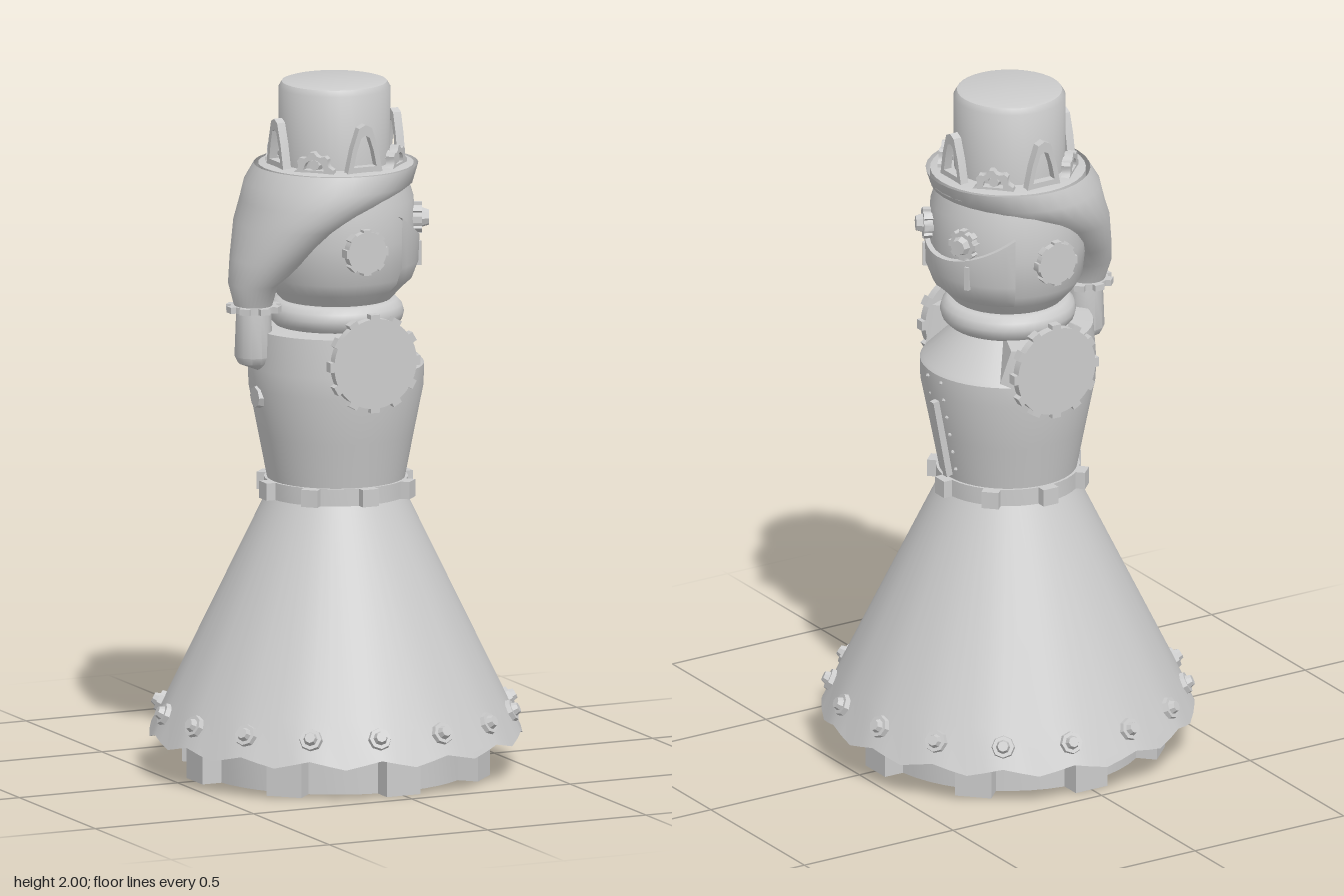
import * as THREE from 'three';
import { toCreasedNormals } from 'three/addons/utils/BufferGeometryUtils.js';

const material = new THREE.MeshStandardMaterial({ color: 0xcccccc, side: THREE.DoubleSide });

export function createModel() {
  const model = new THREE.Group();
  const add = (name, geo, crease = 0.6) => {
    const mesh = new THREE.Mesh(toCreasedNormals(geo, crease), material);
    mesh.name = name;
    model.add(mesh);
    return mesh;
  };

  // Turned part from [radius, height] pairs, bottom to top
  const lathe = (pts, seg = 36, start = 0, length = Math.PI * 2) =>
    new THREE.LatheGeometry(pts.map(([r, y]) => new THREE.Vector2(r, y)), seg, start, length);

  // Move every vertex by a rule
  const warp = (geo, rule) => {
    const p = geo.attributes.position;
    const v = new THREE.Vector3();
    for (let i = 0; i < p.count; i++) {
      v.fromBufferAttribute(p, i);
      rule(v);
      p.setXYZ(i, v.x, v.y, v.z);
    }
    return geo;
  };

  // Toothed disc around the y axis, standing on y = 0
  const gear = (inner, outer, teeth, halfWidth, height) => {
    const pts = [];
    const step = (Math.PI * 2) / teeth;
    const put = (r, a) => pts.push(new THREE.Vector2(r * Math.cos(a), r * Math.sin(a)));
    for (let i = 0; i < teeth; i++) {
      const a = i * step;
      const wi = halfWidth / inner, wo = halfWidth / outer;
      put(inner, a - wi);
      put(outer, a - wo);
      put(outer, a + wo);
      put(inner, a + wi);
      for (let k = 1; k < 4; k++) put(inner, a + wi + ((step - 2 * wi) * k) / 4);
    }
    return new THREE.ExtrudeGeometry(new THREE.Shape(pts), { depth: height, bevelEnabled: false }).rotateX(-Math.PI / 2);
  };

  // Aim a y-axis part outwards (tilt from vertical) and place it around the body
  const place = (geo, r, y, angle, tilt = Math.PI / 2) =>
    geo.rotateZ(-tilt).translate(r, y, 0).rotateY(angle);

  // Base and skirt with a scalloped hem
  add('baseGear', gear(0.39, 0.45, 8, 0.053, 0.13));
  const skirt = lathe([[0, 0.12], [0.44, 0.12], [0.532, 0.11], [0.476, 0.23], [0.2, 0.8], [0, 0.8]], 64);
  warp(skirt, v => {
    if (Math.hypot(v.x, v.z) > 0.5) v.y -= 0.012 * Math.cos(16 * Math.atan2(v.z, v.x));
  });
  add('skirt', skirt);
  for (let i = 0; i < 16; i++) {
    const a = ((i + 0.5) * Math.PI) / 8;
    add('skirtRivet', place(new THREE.CylinderGeometry(0.031, 0.035, 0.02, 8), 0.503, 0.18, a, 1.12), 0.3);
    add('skirtRivetCap', place(new THREE.CylinderGeometry(0.015, 0.022, 0.02, 8), 0.517, 0.187, a, 1.12), 0.3);
  }

  // Belt and torso, with the neckline cut lower on the face side (+x)
  add('belt', gear(0.205, 0.232, 8, 0.025, 0.05).translate(0, 0.8, 0));
  const torso = lathe([[0, 0.84], [0.195, 0.84], [0.222, 0.98], [0.25, 1.12], [0.251, 1.18],
    [0.243, 1.29], [0.13, 1.3], [0.13, 1.34]], 48);
  warp(torso, v => {
    if (v.x > 0.132 && v.y > 1.19) v.y = 1.19;
  });
  add('torso', torso);
  const strip = new THREE.BoxGeometry(0.02, 0.24, 0.02);
  add('chestStrip', strip.rotateZ(-0.19).translate(0.231, 0.98, -0.01));
  for (const side of [-1, 1]) {
    for (let i = 0; i < 6; i++) {
      const y = 0.89 + i * 0.055;
      add('chestStud', new THREE.SphereGeometry(0.006, 6, 4).translate(0.203 + (y - 0.88) * 0.18, y, side * 0.035 - 0.01));
    }
  }
  add('backPlate', place(new THREE.CylinderGeometry(0.03, 0.035, 0.02, 8), 0.247, 1.1, Math.PI, 1.6));

  // Shoulder gears and ears, mirrored
  for (const side of [-1, 1]) {
    const turn = (side * Math.PI) / 2;
    add('shoulderGear', gear(0.13, 0.143, 12, 0.014, 0.026).rotateX(turn).translate(0, 1.22, side * 0.235));
    add('shoulderMount', new THREE.CylinderGeometry(0.07, 0.07, 0.08, 16).rotateX(turn).translate(0, 1.2, side * 0.205));
    add('ear', gear(0.06, 0.067, 8, 0.012, 0.03).rotateX(turn).translate(-0.016, 1.54, side * 0.212));
  }

  // Collar and head
  const collar = new THREE.TorusGeometry(0.152, 0.042, 12, 40).rotateX(Math.PI / 2);
  add('collar', collar.translate(0, 1.33, 0), 1.2);
  add('head', lathe([[0, 1.36], [0.15, 1.36], [0.19, 1.405], [0.213, 1.44], [0.225, 1.55], [0.222, 1.66], [0.2, 1.73], [0, 1.74]]));

  // Jaw mask, its upper edge sweeping up towards the ears
  const mask = lathe([[0.19, 1.405], [0.217, 1.43], [0.236, 1.48], [0.238, 1.535], [0.21, 1.54]], 20, Math.PI / 2 - 1.1, 2.2);
  warp(mask, v => {
    if (v.y > 1.53) v.y += 0.09 * (Math.atan2(v.z, v.x) / 1.1) ** 2;
  });
  add('mask', mask);

  // Eyes and the slits below them
  for (const side of [-1, 1]) {
    const a = side * 0.44;
    add('eyeGear', place(gear(0.038, 0.046, 8, 0.009, 0.03), 0.215, 1.6, a));
    add('eyeLens', place(new THREE.CylinderGeometry(0.022, 0.032, 0.03, 8), 0.25, 1.6, a), 0.3);
    add('cheekSlit', place(new THREE.BoxGeometry(0.07, 0.015, 0.014), 0.236, 1.5, side * 0.5));
  }

  // Hair lofted through ellipses: [height, centre x, x radius, z radius]
  const rings = [[1.76, 0, 0.235, 0.235], [1.71, -0.025, 0.24, 0.248], [1.66, -0.075, 0.2, 0.237],
    [1.6, -0.145, 0.15, 0.205], [1.5, -0.21, 0.107, 0.14], [1.43, -0.262, 0.068, 0.085], [1.36, -0.262, 0.052, 0.055]];
  const sides = 32;
  const verts = [], faces = [];
  rings.forEach(([y, cx, rx, rz], r) => {
    for (let i = 0; i < sides; i++) {
      const a = (i / sides) * Math.PI * 2;
      verts.push(cx + rx * Math.cos(a), y, rz * Math.sin(a));
      if (r === 0) continue;
      const c = r * sides + i, d = r * sides + ((i + 1) % sides);
      faces.push(c, c - sides, d, d, c - sides, d - sides);
    }
  });
  const hair = new THREE.BufferGeometry();
  hair.setAttribute('position', new THREE.Float32BufferAttribute(verts, 3));
  hair.setIndex(faces);
  add('hair', hair, 0.9);
  add('hairTie', gear(0.065, 0.08, 8, 0.015, 0.018).translate(-0.26, 1.35, 0));
  const tail = lathe([[0, 1.17], [0.045, 1.2], [0.055, 1.22], [0.05, 1.35]], 12);
  add('ponytail', warp(tail, v => {
    v.x += -0.26 + (v.y < 1.18 ? 0.03 : 0);
  }));

  // Hat
  add('hatBrim', lathe([[0, 1.715], [0.21, 1.715], [0.222, 1.725], [0.222, 1.76], [0.19, 1.765], [0, 1.765]]));
  add('hatCrown', lathe([[0.158, 1.75], [0.16, 1.98], [0.15, 1.997], [0.14, 2], [0, 2]]).translate(-0.005, 0, 0));

  // Hat ornaments: tall arches alternate with half gears
  const frame = (outer, inner) => {
    const shape = new THREE.Shape(outer.map(p => new THREE.Vector2(...p)));
    shape.holes.push(new THREE.Path(inner.map(p => new THREE.Vector2(...p))));
    return new THREE.ExtrudeGeometry(shape, { depth: 0.025, bevelEnabled: false });
  };
  const tall = s => [[-0.055, 0], [0.055, 0], [0.04, 0.07], [0.02, 0.13], [0, 0.14], [-0.02, 0.13], [-0.04, 0.07]]
    .map(([x, y]) => [x * s, 0.002 + (y - 0.05) * s + 0.048]);
  const arc = (r, bump) => Array.from({ length: 17 }, (_, i) => {
    const a = (i / 16) * Math.PI, q = r + (i % 4 < 2 ? bump : 0);
    return [q * Math.cos(a), q * Math.sin(a)];
  });
  for (let i = 0; i < 8; i++) {
    const isTall = i % 2 === 0;
    const geo = isTall
      ? frame(tall(1), tall(0.65))
      : frame(arc(0.05, 0.01), arc(0.03, 0).map(([x, y]) => [x, y + 0.008]));
    if (isTall) geo.rotateX(0.02);
    add(isTall ? 'hatArch' : 'hatHalfGear', geo.translate(0, 1.763, 0.168).rotateY((i * Math.PI) / 4));
    if (!isTall) {
      const stud = new THREE.CylinderGeometry(0.015, 0.02, 0.03, 8).rotateX(Math.PI / 2);
      add('hatStud', stud.translate(0, 1.785, 0.172).rotateY((i * Math.PI) / 4));
    }
  }
  return model;
}
